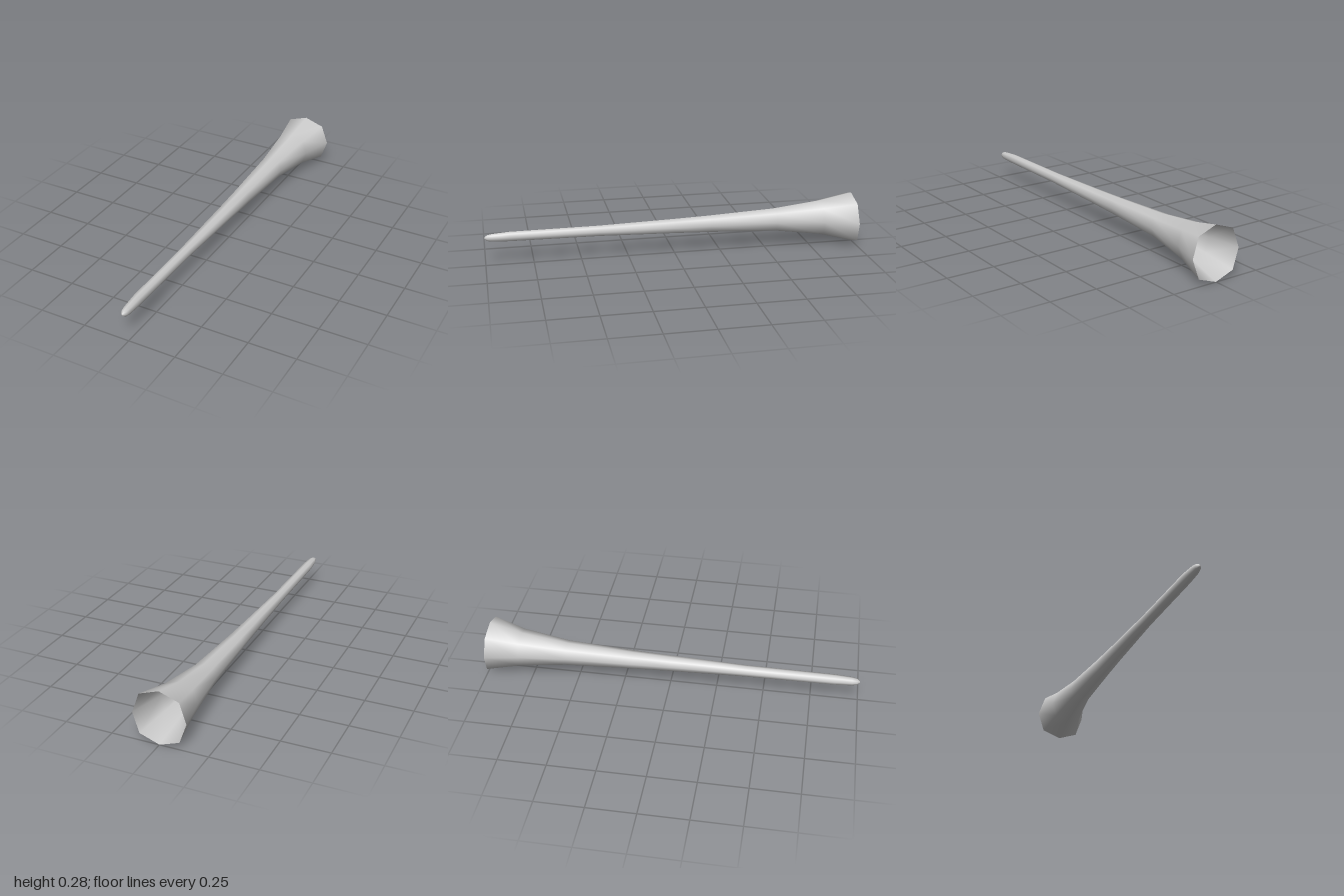
import * as THREE from 'three';

const SIDES = 8;

// Sweeps an eight-sided ring through sections: [z, centre x, centre y, radius, tilt]
function sweep(sections) {
  const positions = [], indices = [];
  for (const [z, cx, cy, r, tilt = 0] of sections) {
    for (let j = 0; j < SIDES; j++) {
      const a = (j / SIDES) * Math.PI * 2;
      const diagonal = j % 2 ? 1.05 : 1;
      const x = Math.cos(a) * diagonal, y = Math.sin(a) * diagonal;
      positions.push(cx + r * x, cy + r * y, z + tilt * y);
    }
  }
  for (let i = 0; i < sections.length - 1; i++) {
    for (let j = 0; j < SIDES; j++) {
      const k = (j + 1) % SIDES;
      const a = i * SIDES + j, b = a + SIDES, c = i * SIDES + k, d = c + SIDES;
      indices.push(a, b, c, c, b, d);
    }
  }
  // Close the tip
  const [z, cx, cy] = sections[0];
  const tip = positions.length / 3;
  positions.push(cx, cy, z + 0.002);
  for (let j = 0; j < SIDES; j++) indices.push(tip, j, (j + 1) % SIDES);

  const geometry = new THREE.BufferGeometry();
  geometry.setAttribute('position', new THREE.Float32BufferAttribute(positions, 3));
  geometry.setIndex(indices);
  geometry.computeVertexNormals();
  return geometry;
}

export function createModel() {
  const group = new THREE.Group();
  group.name = 'horn';

  // Slender tube with a rounded tip, flaring to a slightly tilted open bell
  const tube = new THREE.Mesh(
    sweep([
      [0.998, -0.027, 0.143, 0.006],
      [0.985, -0.027, 0.143, 0.016],
      [0.96, -0.027, 0.143, 0.021],
      [0.87, -0.028, 0.144, 0.026],
      [0.4, -0.028, 0.143, 0.029],
      [0.0, -0.026, 0.143, 0.04, 0.001],
      [-0.2, -0.025, 0.143, 0.047, 0.002],
      [-0.56, -0.023, 0.144, 0.064, 0.003],
      [-0.815, -0.014, 0.143, 0.097, 0.005],
      [-0.992, 0, 0.141, 0.139, 0.007],
    ]),
    new THREE.MeshStandardMaterial({ color: 0xcccccc, side: THREE.DoubleSide })
  );
  tube.name = 'flaredTube';
  group.add(tube);
  return group;
}
